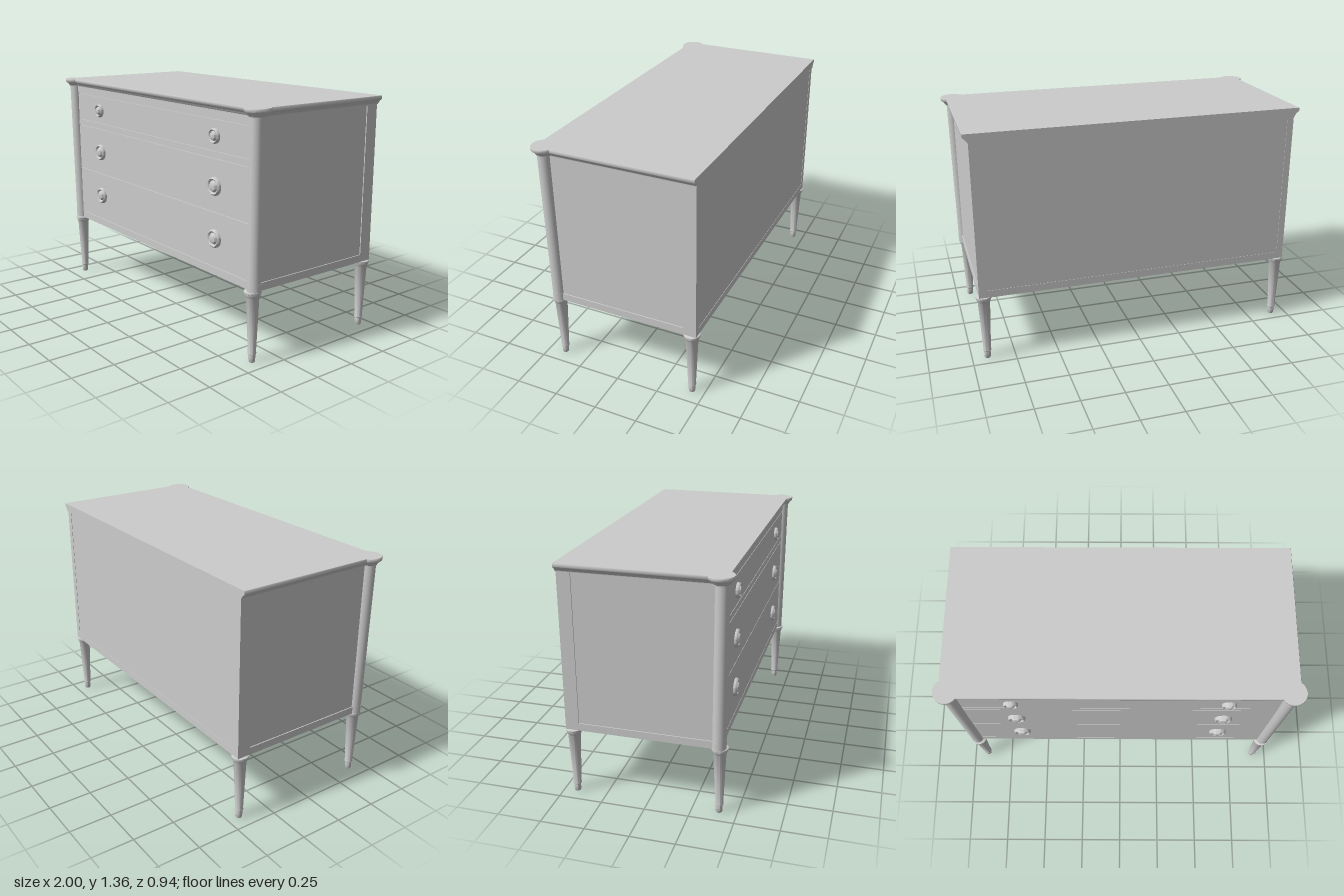
import * as THREE from 'three';
import { mergeVertices, toCreasedNormals } from 'three/addons/utils/BufferGeometryUtils.js';

const material = new THREE.MeshStandardMaterial({ color: 0xcccccc, side: THREE.DoubleSide });
const v2 = (list) => list.map(([x, y]) => new THREE.Vector2(x, y));

// Plan of the top: a rectangle with a round ear at each front corner, drawn in (x, z)
function topPlan(inset) {
  const r = 0.07 - inset, d = 0.04 - inset, steps = 24;
  const a = Math.acos(d / r), start = -a, end = Math.PI / 2 + a;
  const right = [[0.97 - inset, -0.465]];
  for (let i = 0; i <= steps; i++) {
    const t = start + (end - start) * i / steps;
    right.push([0.93 + r * Math.cos(t), 0.4 + r * Math.sin(t)]);
  }
  return [...right, ...right.slice().reverse().map(([x, z]) => [-x, z])];
}

// Moulded top, lofted from inset copies of the plan
function topGeometry() {
  const profile = [[1.305, 0.025], [1.311, 0.025], [1.314, 0.021], [1.32, 0.018],
    [1.327, 0.012], [1.333, 0.003], [1.338, 0], [1.352, 0], [1.355, 0.002]];
  const positions = [], index = [];
  const rings = profile.map(([, inset]) => topPlan(inset));
  const n = rings[0].length;
  rings.forEach((ring, k) => ring.forEach(([x, z]) => positions.push(x, profile[k][0], z)));
  for (let k = 0; k < rings.length - 1; k++) {
    for (let i = 0; i < n; i++) {
      const a = k * n + i, b = k * n + (i + 1) % n;
      index.push(a, a + n, b, b, a + n, b + n);
    }
  }
  // Caps
  const last = (rings.length - 1) * n;
  for (const [a, b, c] of THREE.ShapeUtils.triangulateShape(v2(rings[0]), [])) index.push(a, b, c);
  for (const [a, b, c] of THREE.ShapeUtils.triangulateShape(v2(rings.at(-1)), [])) {
    index.push(last + a, last + c, last + b);
  }
  const g = new THREE.BufferGeometry();
  g.setAttribute('position', new THREE.Float32BufferAttribute(positions, 3));
  g.setIndex(index);
  return toCreasedNormals(g, 0.6);
}

// Turned part from [radius, height] points
function turned(points, segments = 32) {
  const g = new THREE.LatheGeometry(v2(points), segments);
  g.deleteAttribute('uv');
  g.deleteAttribute('normal');
  return toCreasedNormals(mergeVertices(g), 0.6);
}

export function createModel() {
  const group = new THREE.Group();
  const add = (name, geometry, x = 0, y = 0, z = 0) => {
    const mesh = new THREE.Mesh(geometry, material);
    mesh.name = name;
    mesh.position.set(x, y, z);
    group.add(mesh);
    return mesh;
  };
  const box = (name, x0, x1, y0, y1, z0, z1) => add(name,
    new THREE.BoxGeometry(x1 - x0, y1 - y0, z1 - z0),
    (x0 + x1) / 2, (y0 + y1) / 2, (z0 + z1) / 2);

  add('top', topGeometry());

  // Carcass with plinth and back stiles framing the side panels
  box('carcass', -0.934, 0.934, 0.42, 1.306, -0.46, 0.402);
  box('plinth', -0.94, 0.94, 0.4, 0.443, -0.462, 0.41);
  for (const s of [-1, 1]) {
    const stile = box('backStile', 0.9, 0.94, 0.443, 1.306, -0.462, -0.385);
    stile.position.x *= s;
  }

  // Front rails and drawers, with fine gaps between
  const w = 0.893, gap = 0.002;
  box('topRail', -w, w, 1.26 + gap, 1.306, 0.38, 0.41);
  box('middleRail', -w, w, 1.05 + gap, 1.09 - gap, 0.38, 0.41);
  const drawers = [[1.09, 1.26, 0.82], [0.755, 1.05, 1], [0.445, 0.755, 1]];
  const knobProfile = [[0, 0.028], [0.014, 0.027], [0.024, 0.023], [0.028, 0.016], [0.031, 0.011],
    [0.035, 0.011], [0.038, 0.017], [0.043, 0.02], [0.048, 0.016], [0.051, 0.008], [0.051, -0.002]];
  const knob = turned(knobProfile.reverse(), 40);
  const knobHeights = [1.172, 0.9, 0.61];
  drawers.forEach(([y0, y1, size], i) => {
    box('drawer', -w + 0.004, w - 0.004, y0 + gap, y1 - gap, 0.37, 0.41);
    for (const s of [-1, 1]) {
      const mesh = add('knob', knob, s * 0.605, knobHeights[i], 0.41);
      mesh.rotation.x = Math.PI / 2;
      mesh.scale.set(size, 1, size);
    }
  });

  // Corner columns, leaning slightly outward, on round bases
  for (const s of [-1, 1]) {
    const column = new THREE.CylinderGeometry(0.037, 0.038, 0.866, 32);
    const p = column.attributes.position;
    for (let i = 0; i < p.count; i++) {
      const t = p.getY(i) / 0.866;
      p.setX(i, p.getX(i) + s * 0.01 * t);
      p.setZ(i, p.getZ(i) + 0.007 * t);
    }
    add('column', column, s * 0.925, 0.873, 0.402);
    add('columnBase', new THREE.CylinderGeometry(0.039, 0.039, 0.044, 32), s * 0.92, 0.422, 0.398);
  }

  // Turned tapering legs
  const leg = turned([[0, 0], [0.016, 0], [0.018, 0.004], [0.019, 0.03], [0.018, 0.042],
    [0.023, 0.046], [0.024, 0.052], [0.022, 0.057], [0.028, 0.2], [0.035, 0.365], [0.038, 0.37],
    [0.042, 0.378], [0.043, 0.388], [0.047, 0.391], [0.047, 0.399], [0.044, 0.401], [0, 0.401]]);
  for (const x of [-0.911, 0.911]) {
    add('frontLeg', leg, x, 0, 0.4);
    add('backLeg', leg, x, 0, -0.426);
  }
  return group;
}
